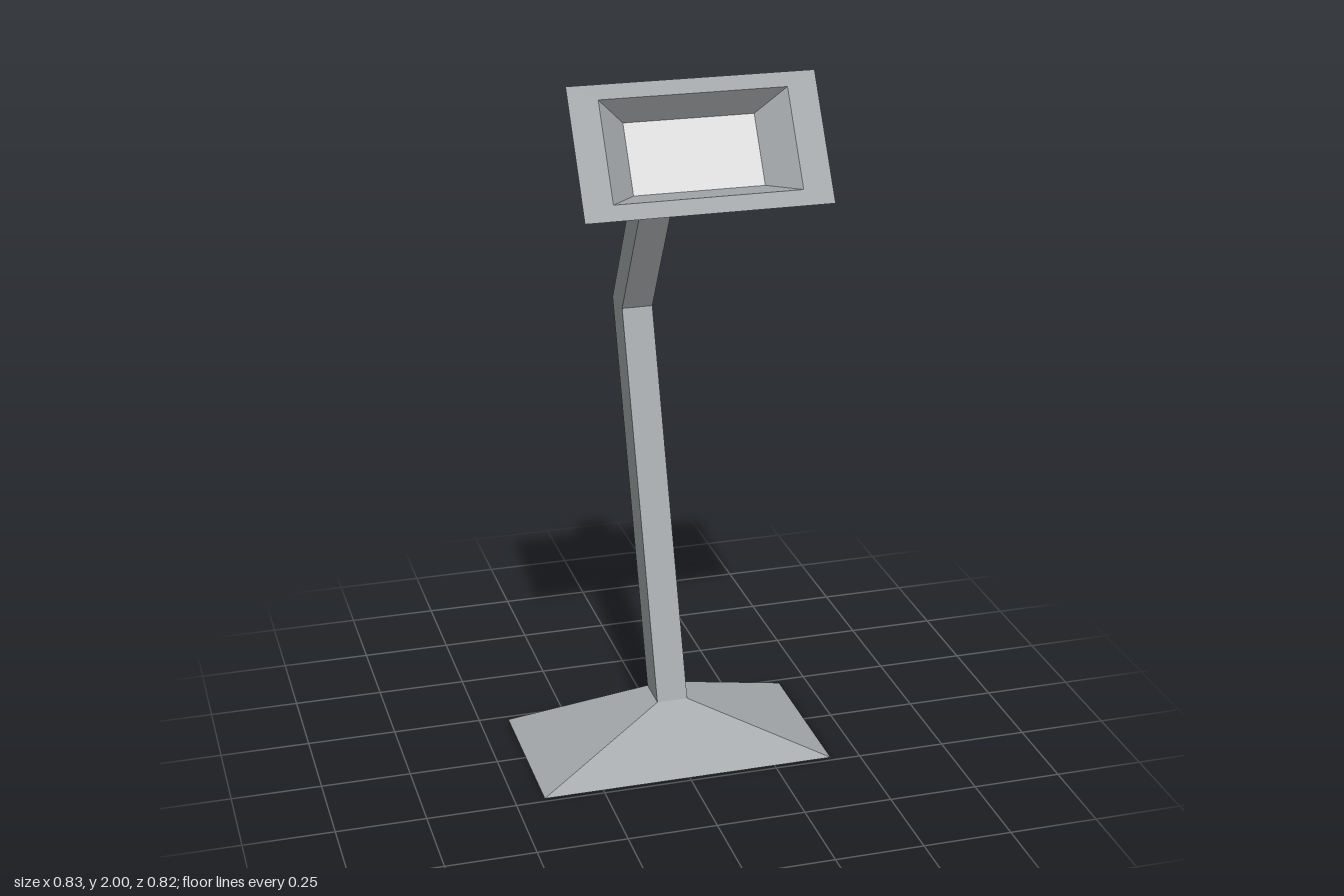
import * as THREE from 'three';

// Each ring is a rectangle: half width, then lower/front edge (z, y) and upper/back edge (z, y)
const BOTTOM = [0.417, 0.235, 0, -0.232, 0];
const NECK = [0.044, 0.056, 0.152, -0.05, 0.152];
const ELBOW = [0.044, -0.306, 1.214, -0.412, 1.214];
const BEND = [0.044, -0.1, 1.569, -0.16, 1.653];
const JOINT = [0.044, 0.197, 1.728, 0.139, 1.816];
const HEAD_BACK = [0.092, 0.246, 1.692, 0.126, 1.872];
const HEAD_FRONT = [0.325, 0.41, 1.7, 0.226, 2];
const OPENING = [0.247, 0.388, 1.736, 0.246, 1.966];
const RECESS = [0.173, 0.304, 1.729, 0.204, 1.891];

const corners = ([w, zf, yf, zb, yb]) => [[-w, yf, zf], [w, yf, zf], [w, yb, zb], [-w, yb, zb]];

function geometryFromQuads(quads) {
  const pos = quads.flatMap(([a, b, c, d]) => [a, b, c, a, c, d].flat());
  const geo = new THREE.BufferGeometry();
  geo.setAttribute('position', new THREE.Float32BufferAttribute(pos, 3));
  geo.computeVertexNormals(); // unshared vertices give flat faces
  return geo;
}

// Open four-sided skin through a list of rings
function loft(rings) {
  const quads = [];
  for (let i = 0; i < rings.length - 1; i++) {
    const a = corners(rings[i]), b = corners(rings[i + 1]);
    for (let j = 0; j < 4; j++) {
      const k = (j + 1) % 4;
      quads.push([a[j], a[k], b[k], b[j]]);
    }
  }
  return geometryFromQuads(quads);
}

export function createModel() {
  const metal = new THREE.MeshStandardMaterial({ color: 0xa6aaad, side: THREE.DoubleSide, flatShading: true });
  metal.name = 'grey metal';
  const glass = new THREE.MeshStandardMaterial({ color: 0xdedede, side: THREE.DoubleSide, flatShading: true });
  glass.name = 'pale lamp glass';

  const lamp = new THREE.Group();
  lamp.name = 'deskLamp';
  const add = (name, geometry, material) => {
    const mesh = new THREE.Mesh(geometry, material);
    mesh.name = name;
    lamp.add(mesh);
  };

  // Hollow foot and bent arm
  add('base', loft([BOTTOM, NECK]), metal);
  add('arm', loft([NECK, ELBOW, BEND, JOINT]), metal);

  // Shade flares from the arm, then the rim turns inward to the recess
  add('shade', loft([JOINT, HEAD_BACK, HEAD_FRONT]), metal);
  add('rim', loft([HEAD_FRONT, OPENING]), metal);
  add('recess', loft([OPENING, RECESS]), metal);
  add('lightPanel', geometryFromQuads([corners(RECESS)]), glass);

  return lamp;
}
